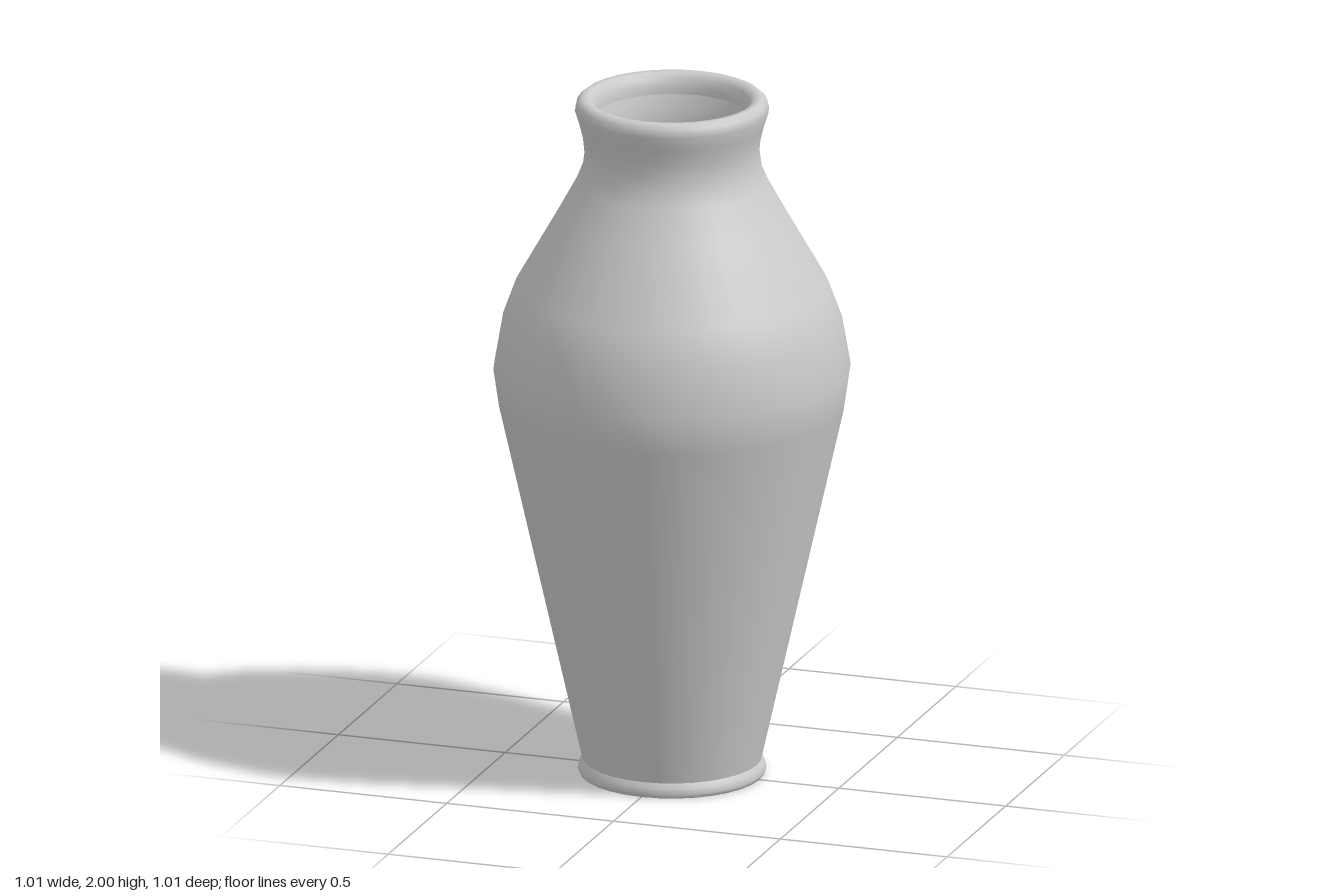
import * as THREE from 'three';

const SIDES = 32;

// Revolve a bottom-to-top [radius, height] profile around the y axis
function turned(name, profile, material) {
  const points = profile.map(([r, y]) => new THREE.Vector2(r, y));
  const mesh = new THREE.Mesh(new THREE.LatheGeometry(points, SIDES), material);
  mesh.name = name;
  return mesh;
}

export function createModel() {
  const group = new THREE.Group();
  group.name = 'vase';
  const clay = new THREE.MeshStandardMaterial({ color: 0xcccccc, side: THREE.DoubleSide });

  // Foot ring: small flare with a turned-under edge, open underneath
  group.add(turned('footRing', [
    [0.255, 0], [0.262, 0], [0.267, 0.012], [0.263, 0.028], [0.254, 0.042],
  ], clay));

  // Tapered body, shoulder, neck and rolled lip in one thin open shell
  group.add(turned('body', [
    [0.254, 0.042],
    [0.49, 1.09], [0.506, 1.2], [0.482, 1.34], [0.444, 1.444], // belly
    [0.324, 1.655], [0.272, 1.75], [0.254, 1.795], // shoulder
    [0.248, 1.84], [0.252, 1.88], [0.263, 1.925], // neck
    [0.275, 1.963], [0.27, 1.987], [0.255, 2], // flared lip
    [0.236, 1.999], [0.222, 1.985], [0.215, 1.96], [0.215, 1.94], // rolled inside
  ], clay));

  return group;
}
